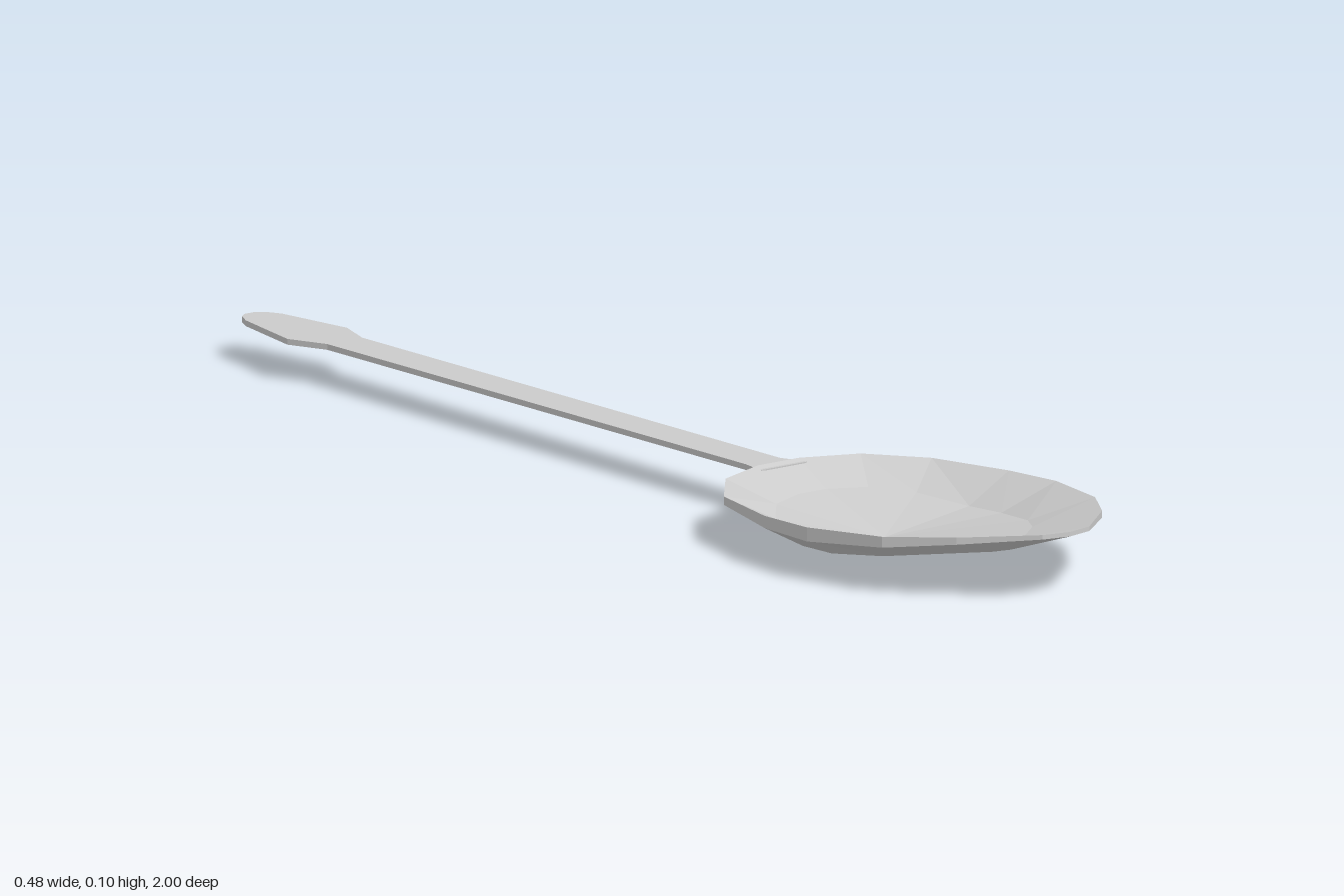
import * as THREE from 'three';

const material = new THREE.MeshStandardMaterial({ color: 0xcccccc, flatShading: true });

// Half of the bowl outline, tip to handle: x, z, rim top y, rim bottom y
const halfRim = [
  [0.045, 0.99, 0.105, 0.098], [0.14, 0.9, 0.098, 0.087], [0.205, 0.8, 0.09, 0.073],
  [0.24, 0.66, 0.083, 0.061], [0.235, 0.55, 0.079, 0.06], [0.2, 0.405, 0.076, 0.063],
  [0.13, 0.32, 0.077, 0.067], [0.04, 0.284, 0.077, 0.067],
];
const rim = [
  [0, 1, 0.105, 0.098],
  ...halfRim,
  ...halfRim.map(([x, z, t, b]) => [-x, z, t, b]).reverse(),
];

function createBowl() {
  const cx = -0.012, cz = 0.56, shrink = 0.68, thickness = 0.014;
  const n = rim.length;
  const lowest = [cx, 0, cz];
  // Rings of the outer skin, then the inner skin
  const rimLow = rim.map(([x, z, t, b]) => [x, b, z]);
  const rimTop = rim.map(([x, z, t]) => [x, t, z]);
  const ringLow = rim.map(([x, z, t, b]) => [
    cx + (x - cx) * shrink,
    b * (0.36 + 0.16 * Math.min(1, Math.abs(z - cz) / 0.3)),
    cz + (z - cz) * shrink,
  ]);
  const raise = ([x, y, z]) => [x, y + thickness, z];
  const loops = [ringLow, rimLow, rimTop, ringLow.map(raise)].flat();
  const positions = [...loops, lowest, raise(lowest)].flat();
  const index = [];
  for (let i = 0; i < n; i++) {
    const j = (i + 1) % n;
    index.push(4 * n, j, i);                       // underside centre
    for (let k = 0; k < 3; k++) {                  // underside, rim edge, inside
      const a = k * n + i, b = k * n + j;
      index.push(a, b, a + n, b, b + n, a + n);
    }
    index.push(4 * n + 1, 3 * n + i, 3 * n + j);   // inside centre
  }
  const geometry = new THREE.BufferGeometry();
  geometry.setAttribute('position', new THREE.Float32BufferAttribute(positions, 3));
  geometry.setIndex(index);
  const flat = geometry.toNonIndexed();
  flat.computeVertexNormals();
  const mesh = new THREE.Mesh(flat, material);
  mesh.name = 'bowl';
  return mesh;
}

function createHandle() {
  // Stations along the handle: z, left x, right x
  const stations = [
    [0.3, -0.045, 0.042], [0.283, -0.044, 0.038], [0.255, -0.04, 0.026], [-0.765, -0.046, 0.021],
    [-0.83, -0.072, 0.043], [-0.965, -0.046, 0.024], [-0.99, -0.034, 0.012], [-1, -0.022, 0],
  ];
  const outline = [
    ...stations.map(([z, , r]) => new THREE.Vector2(r, -z)),
    ...stations.map(([z, l]) => new THREE.Vector2(l, -z)).reverse(),
  ];
  const geometry = new THREE.ExtrudeGeometry(new THREE.Shape(outline), { depth: 0.009, bevelEnabled: false });
  geometry.rotateX(-Math.PI / 2);
  // Slope the strip gently down towards its far end
  const p = geometry.attributes.position;
  for (let i = 0; i < p.count; i++) p.setY(i, p.getY(i) + 0.0645 + (p.getZ(i) - 0.28) * 0.008);
  geometry.computeVertexNormals();
  const mesh = new THREE.Mesh(geometry, material);
  mesh.name = 'handle';
  return mesh;
}

export function createModel() {
  const group = new THREE.Group();
  group.name = 'spoon';
  group.add(createBowl(), createHandle());
  return group;
}
